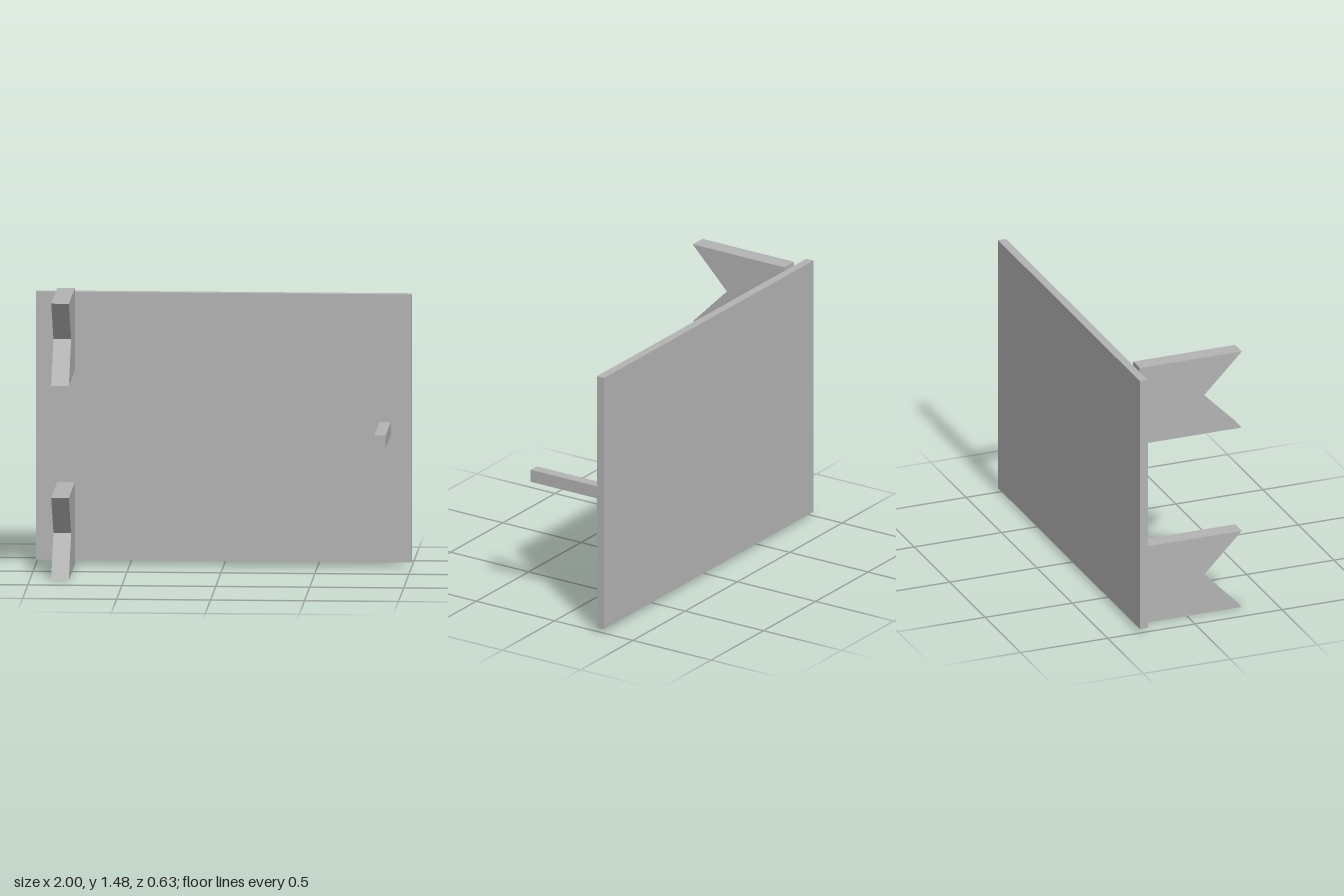
import * as THREE from 'three';

export function createModel() {
  const group = new THREE.Group();
  const grey = new THREE.MeshStandardMaterial({ color: 0xb3b3b3 });
  grey.name = 'grey';

  const add = (name, geometry, x, y, z) => {
    const mesh = new THREE.Mesh(geometry, grey);
    mesh.name = name;
    mesh.position.set(x, y, z);
    group.add(mesh);
  };

  // upright panel at the back
  const panelFront = -0.27;
  add('panel', new THREE.BoxGeometry(2, 1.44, 0.046), 0, 0.743, panelFront - 0.023);

  // two brackets with a V notch in the front edge, drawn in z and y
  const profile = new THREE.Shape([
    [panelFront, 0], [0.316, 0], [0.097, 0.221], [0.316, 0.442], [panelFront, 0.442],
  ].map(([z, y]) => new THREE.Vector2(z, y)));
  const bracket = new THREE.ExtrudeGeometry(profile, { depth: 0.094, bevelEnabled: false });
  bracket.rotateY(-Math.PI / 2);
  add('lowerBracket', bracket, -0.792, 0, 0);
  add('upperBracket', bracket, -0.792, 1.042, 0);

  // square peg on the other side
  const pegLength = 0.497;
  add('peg', new THREE.BoxGeometry(0.06, 0.069, pegLength), 0.859, 0.743, panelFront + pegLength / 2);

  return group;
}
